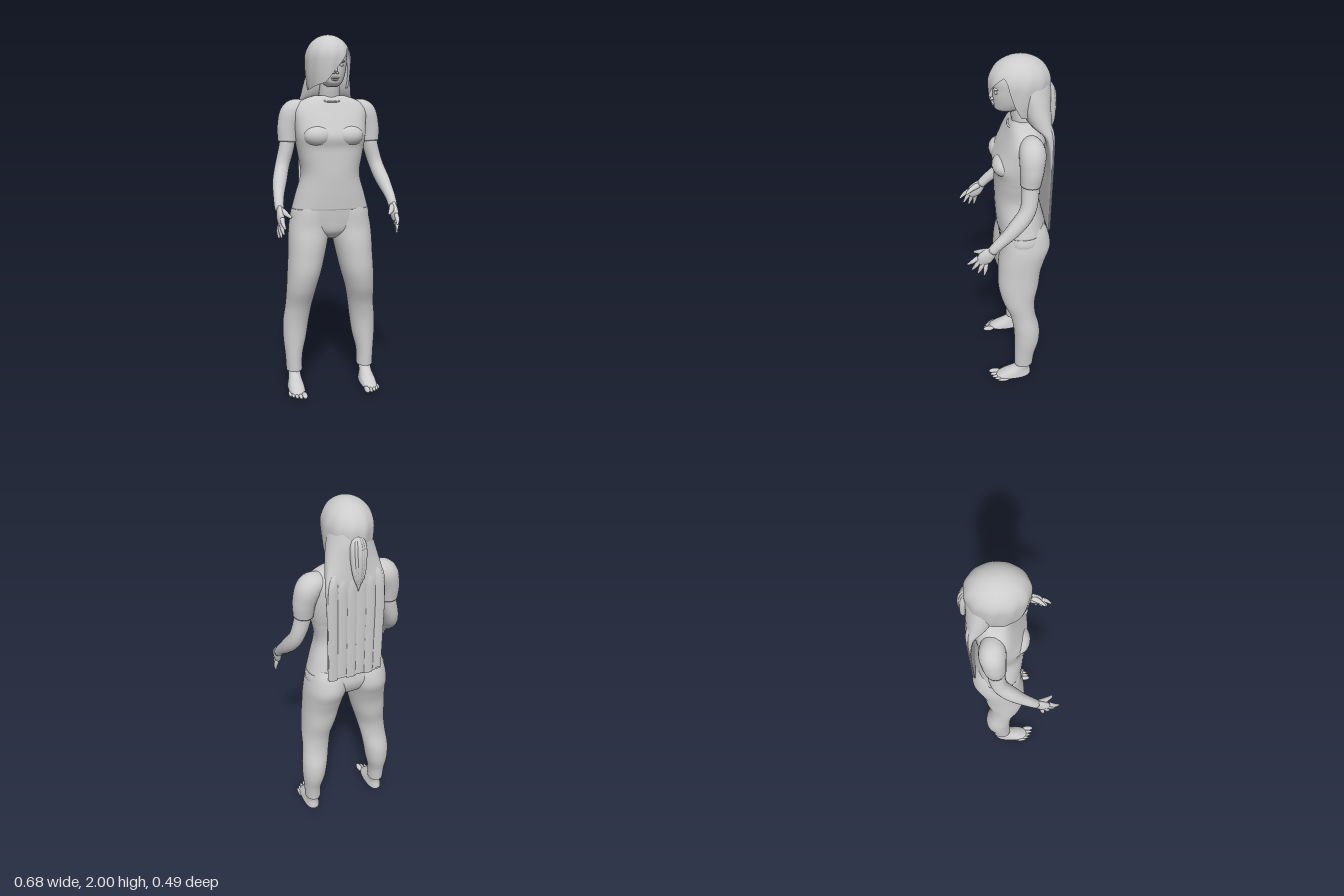
import * as THREE from 'three';
import { mergeVertices } from 'three/addons/utils/BufferGeometryUtils.js';

const grey = new THREE.MeshStandardMaterial({ color: 0xcccccc, side: THREE.DoubleSide });
grey.name = 'plain grey';

// Smooth interpolation through a list of equal-length number rows
function smoothRow(rows, t) {
  const f = t * (rows.length - 1), i = Math.min(Math.floor(f), rows.length - 2), u = f - i;
  const at = k => rows[Math.max(0, Math.min(rows.length - 1, k))];
  return at(i).map((b, k) => {
    const a = at(i - 1)[k], c = at(i + 1)[k], d = at(i + 2)[k];
    return b + 0.5 * u * (c - a + u * (2 * a - 5 * b + 4 * c - d + u * (3 * (b - c) + d - a)));
  });
}

// Index a grid of closed rings; every ring has n points
function ringGeometry(points, rows, n) {
  const index = [];
  for (let i = 0; i < rows - 1; i++) for (let j = 0; j < n; j++) {
    const a = i * n + j, b = i * n + (j + 1) % n;
    index.push(a, b, b + n, a, b + n, a + n);
  }
  const g = new THREE.BufferGeometry();
  g.setAttribute('position', new THREE.Float32BufferAttribute(points, 3));
  g.setIndex(index);
  g.computeVertexNormals();
  return g;
}

// Horizontal sections, bottom to top: [x, y, z, halfWidth, front, back, power]
function loft(sections, side = 1, n = 48) {
  const steps = (sections.length - 1) * 6, pts = [];
  const ring = (row, k) => {
    const [x, y, z, rx, f, b, p] = row;
    for (let j = 0; j < n; j++) {
      const a = j / n * Math.PI * 2, s = Math.sin(a), c = Math.cos(a);
      pts.push(side * x + k * rx * Math.sign(s) * Math.abs(s) ** (2 / p), y,
        z + k * (c > 0 ? f : b) * Math.sign(c) * Math.abs(c) ** (2 / p));
    }
  };
  // Doubled end rings keep the hems crisp
  ring(sections[0], 0.001); ring(sections[0], 0.97);
  for (let i = 0; i <= steps; i++) ring(smoothRow(sections, i / steps), 1);
  const last = sections[sections.length - 1];
  ring(last, 0.97); ring(last, 0.001);
  return ringGeometry(pts, steps + 5, n);
}

// Tapered closed limb along points [x, y, z, radius]; flat squeezes it in x
function limb(rows, side = 1, flat = 1, steps = 36) {
  const curve = new THREE.CatmullRomCurve3(rows.map(r => new THREE.Vector3(side * r[0], r[1], r[2])));
  const g = new THREE.TubeGeometry(curve, steps, 1, 20), pos = g.attributes.position;
  const v = new THREE.Vector3();
  for (let i = 0; i <= steps; i++) {
    const c = curve.getPointAt(i / steps);
    const r = i === 0 || i === steps ? 0.0005 : smoothRow(rows.map(q => [q[3]]), i / steps)[0];
    for (let j = 0; j <= 20; j++) {
      const k = i * 21 + j;
      v.fromBufferAttribute(pos, k).sub(c).multiplyScalar(r);
      pos.setXYZ(k, c.x + v.x * flat, c.y + v.y, c.z + v.z);
    }
  }
  g.deleteAttribute('uv'); g.deleteAttribute('normal');
  const m = mergeVertices(g, 1e-5);
  m.computeVertexNormals();
  return m;
}

// Hair shell from the crown down to a lower edge that varies around the head
function hairShell() {
  const edge = [[-180, 1.7], [-75, 1.71], [-40, 1.735], [-20, 1.745], [0, 1.797], [20, 1.848], [40, 1.9],
    [52, 1.925], [62, 1.9], [74, 1.79], [88, 1.72], [180, 1.7]];
  const n = 120, rows = 28, pts = [];
  for (let i = rows; i >= 0; i--) for (let j = 0; j < n; j++) {
    const deg = j / n * 360 - 180, a = deg * Math.PI / 180;
    const k = Math.max(1, edge.findIndex(e => e[0] >= deg));
    const [d0, y0] = edge[k - 1], [d1, y1] = edge[k];
    const low = y0 + (y1 - y0) * (deg - d0) / (d1 - d0);
    const y = 2 - (2 - low) * (i / rows) ** 1.6;
    const s = (2 - y) / 0.13;
    let r = s < 1 ? Math.sqrt(1 - (1 - s) ** 2) : 1 - 0.08 * (s - 1) ** 2;
    r *= 1 + 0.012 * Math.min(s, 1) * Math.sin(a * 11 + s * 2);
    pts.push(-0.012 + 0.124 * r * Math.sin(a), y, -0.065 + (Math.cos(a) > 0 ? 0.155 : 0.15) * r * Math.cos(a));
  }
  return ringGeometry(pts, rows + 1, n);
}

export function createModel() {
  const model = new THREE.Group();
  model.name = 'standingWoman';
  const add = (name, geometry) => {
    const m = new THREE.Mesh(geometry, grey);
    m.name = name;
    model.add(m);
    return m;
  };
  const ball = (name, x, y, z, sx, sy, sz) => {
    const m = add(name, new THREE.SphereGeometry(1, 24, 16));
    m.position.set(x, y, z);
    m.scale.set(sx, sy, sz);
    return m;
  };

  // Shirt body and pelvis
  add('shirt', loft([
    [0, 1.06, -0.07, 0.217, 0.13, 0.135, 2.3], [0, 1.14, -0.07, 0.195, 0.136, 0.115, 2.3],
    [0, 1.25, -0.07, 0.165, 0.14, 0.085, 2.4], [0, 1.35, -0.07, 0.178, 0.138, 0.09, 2.6],
    [0, 1.4, -0.07, 0.187, 0.138, 0.1, 2.7], [0, 1.46, -0.07, 0.195, 0.148, 0.11, 2.7],
    [0, 1.53, -0.07, 0.2, 0.12, 0.118, 2.6], [0, 1.6, -0.07, 0.2, 0.085, 0.115, 2.5],
    [0, 1.65, -0.075, 0.16, 0.065, 0.085, 2.3], [0, 1.678, -0.08, 0.085, 0.05, 0.06, 2]]));
  add('pelvis', loft([
    [0, 0.89, -0.065, 0.04, 0.05, 0.05, 2], [0, 0.93, -0.065, 0.13, 0.1, 0.11, 2.2],
    [0, 1, -0.07, 0.222, 0.118, 0.135, 2.3], [0, 1.08, -0.07, 0.21, 0.125, 0.125, 2.3]]));
  const collar = add('collar', new THREE.TorusGeometry(0.075, 0.005, 10, 48));
  collar.position.set(0, 1.662, -0.075);
  collar.rotation.x = Math.PI / 2 + 0.22;

  for (const s of [1, -1]) {
    // Trouser leg
    add('trouserLeg', loft([
      [0.211, 0.11, -0.075, 0.046, 0.055, 0.055, 2], [0.212, 0.2, -0.08, 0.05, 0.06, 0.06, 2],
      [0.205, 0.3, -0.09, 0.066, 0.07, 0.075, 2], [0.197, 0.4, -0.09, 0.074, 0.075, 0.076, 2],
      [0.183, 0.5, -0.075, 0.076, 0.08, 0.068, 2], [0.17, 0.6, -0.05, 0.084, 0.095, 0.09, 2],
      [0.153, 0.7, -0.05, 0.095, 0.117, 0.11, 2.1], [0.138, 0.8, -0.055, 0.104, 0.122, 0.118, 2.1],
      [0.128, 0.88, -0.06, 0.111, 0.122, 0.137, 2.1], [0.118, 0.96, -0.07, 0.115, 0.12, 0.153, 2.1],
      [0.108, 1.04, -0.075, 0.108, 0.122, 0.135, 2.1], [0.1, 1.09, -0.075, 0.1, 0.115, 0.11, 2]], s));
    // Bare foot with toes
    add('foot', loft([
      [0.212, 0.002, 0, 0.036, 0.075, 0.1, 2.4], [0.212, 0.018, 0, 0.047, 0.092, 0.117, 2.4],
      [0.212, 0.042, -0.01, 0.043, 0.07, 0.107, 2.3], [0.212, 0.07, -0.05, 0.036, 0.06, 0.063, 2],
      [0.212, 0.1, -0.073, 0.034, 0.042, 0.042, 2], [0.212, 0.14, -0.075, 0.034, 0.04, 0.04, 2]], s, 32));
    [[0.181, 0.135, 0.015], [0.204, 0.13, 0.0105], [0.224, 0.12, 0.01], [0.242, 0.105, 0.0095], [0.257, 0.087, 0.009]]
      .forEach(([x, tip, r]) => ball('toe', s * x, r + 0.002, tip - 0.035, r, r, 0.035));
    // Bust, sleeve and bare arm
    ball('bust', s * 0.085, 1.462, 0.026, 0.08, 0.058, 0.062);
    add('sleeve', limb([
      [0.12, 1.6, -0.09, 0.05], [0.195, 1.592, -0.1, 0.066], [0.228, 1.51, -0.096, 0.06],
      [0.235, 1.42, -0.088, 0.052]], s));
    add('arm', limb([
      [0.225, 1.5, -0.09, 0.044], [0.24, 1.4, -0.088, 0.045], [0.27, 1.29, -0.07, 0.042],
      [0.298, 1.19, 0.01, 0.041], [0.311, 1.125, 0.08, 0.031], [0.314, 1.075, 0.125, 0.025]], s, 0.95));
    // Hand with spread fingers
    add('palm', limb([
      [0.314, 1.1, 0.1, 0.024], [0.313, 1.07, 0.13, 0.036], [0.312, 1.035, 0.16, 0.04],
      [0.311, 1.01, 0.182, 0.024]], s, 0.5));
    [[0.308, 1.052, 0.185, 0.3, 1, 0.245], [0.31, 1.038, 0.175, 0.305, 0.966, 0.222],
      [0.312, 1.025, 0.16, 0.314, 0.945, 0.192], [0.314, 1.015, 0.145, 0.324, 0.936, 0.16]]
      .forEach(([x, y, z, tx, ty, tz]) => add('finger', limb([
        [x, y, z, 0.012], [(x + tx) / 2 + 0.005, (y + ty) / 2, (z + tz) / 2, 0.011], [tx, ty, tz, 0.005]], s, 1, 14)));
    add('thumb', limb([[0.31, 1.085, 0.125, 0.018], [0.285, 1.068, 0.175, 0.014], [0.262, 1.052, 0.208, 0.006]], s, 1, 14));
    // Eye, brow and nostril wing
    ball('eye', s * 0.034, 1.836, 0.055, 0.014, 0.008, 0.012);
    ball('brow', s * 0.034, 1.855, 0.056, 0.022, 0.006, 0.012);
    ball('nostril', s * 0.01, 1.795, 0.073, 0.008, 0.007, 0.009);
  }

  // Neck, head and face
  add('neck', limb([[0, 1.6, -0.09, 0.065], [0, 1.67, -0.082, 0.06], [0, 1.72, -0.07, 0.055], [0, 1.8, -0.06, 0.055]]));
  add('head', loft([
    [0, 1.724, 0, 0.025, 0.04, 0.04, 2], [0, 1.742, -0.01, 0.05, 0.073, 0.065, 2],
    [0, 1.775, -0.03, 0.068, 0.098, 0.08, 2.1], [0, 1.81, -0.05, 0.079, 0.12, 0.1, 2.2],
    [0, 1.85, -0.06, 0.085, 0.13, 0.11, 2.2], [0, 1.9, -0.065, 0.087, 0.135, 0.12, 2.1],
    [0, 1.95, -0.065, 0.07, 0.1, 0.1, 2], [0, 1.982, -0.065, 0.025, 0.04, 0.04, 2]]));
  add('nose', limb([[0, 1.85, 0.066, 0.008], [0, 1.82, 0.075, 0.009], [0, 1.797, 0.082, 0.01]], 1, 1, 16));
  ball('upperLip', 0, 1.769, 0.066, 0.023, 0.005, 0.011);
  ball('lowerLip', 0, 1.76, 0.064, 0.019, 0.006, 0.011);

  // Swept hair shell and the long mass falling behind
  add('sweptHair', hairShell());
  add('longHair', loft([
    [0, 1.07, -0.206, 0.152, 0.006, 0.008, 3], [0, 1.25, -0.208, 0.154, 0.006, 0.009, 3],
    [0, 1.45, -0.21, 0.155, 0.01, 0.01, 3], [0, 1.61, -0.2, 0.155, 0.03, 0.02, 3],
    [0, 1.68, -0.175, 0.143, 0.08, 0.042, 2.6], [0, 1.75, -0.14, 0.13, 0.075, 0.075, 2.3],
    [0, 1.83, -0.11, 0.112, 0.05, 0.105, 2], [0, 1.9, -0.1, 0.09, 0.04, 0.1, 2]]));
  // Overlapping back locks
  for (let i = 0; i < 6; i++) {
    const x = -0.125 + i * 0.05;
    add('hairLock', loft([
      [x, 1.085 - (i % 2) * 0.02, -0.213, 0.024, 0.005, 0.006, 2], [x, 1.3, -0.215, 0.026, 0.005, 0.007, 2],
      [x, 1.5, -0.217, 0.027, 0.006, 0.007, 2], [x * 0.95, 1.63, -0.21, 0.024, 0.006, 0.012, 2],
      [x * 0.8, 1.7, -0.19, 0.012, 0.005, 0.01, 2]], 1, 20));
  }
  // Small gathered tail at the back of the head
  for (let i = -2; i <= 2; i++) add('tailStrand', limb([
    [-0.005 + i * 0.005, 1.875, -0.195, 0.01], [-0.005 + i * 0.012, 1.82, -0.222 + Math.abs(i) * 0.005, 0.017],
    [-0.005 + i * 0.012, 1.74, -0.232 + Math.abs(i) * 0.005, 0.017], [-0.005 + i * 0.008, 1.65, -0.228, 0.013],
    [-0.005 + i * 0.003, 1.58 + Math.abs(i) * 0.015, -0.222, 0.003]]));
  return model;
}
